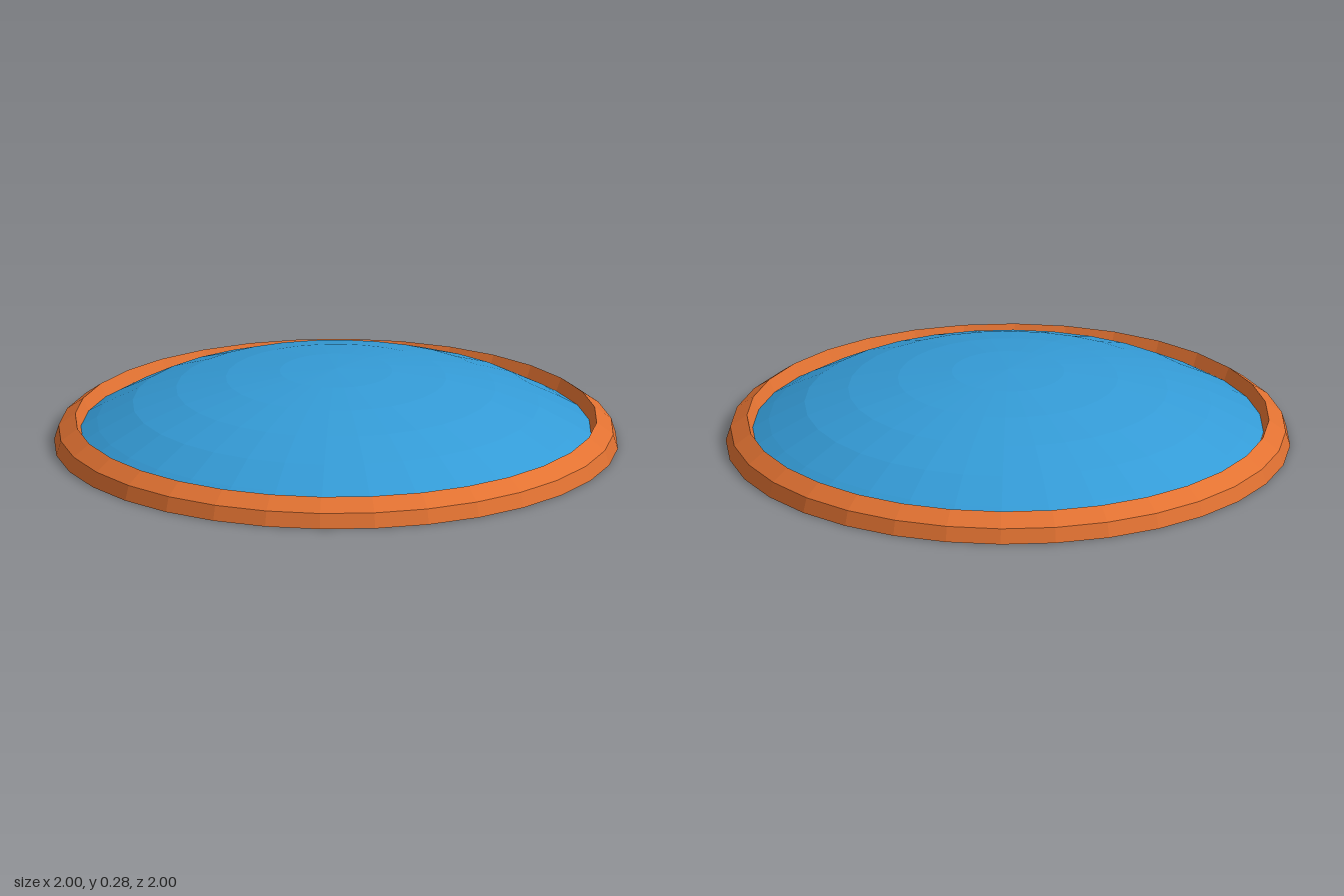
import * as THREE from 'three';

const SIDES = 32;

// Flat-shaded turned shell, profile listed from the outer edge inward
function shell(name, points, material) {
  const profile = points.map(([r, y]) => new THREE.Vector2(r, y));
  const mesh = new THREE.Mesh(new THREE.LatheGeometry(profile, SIDES), material);
  mesh.name = name;
  return mesh;
}

function makeMaterial(name, color) {
  const material = new THREE.MeshStandardMaterial({ color, flatShading: true, side: THREE.DoubleSide });
  material.name = name;
  return material;
}

export function createModel() {
  const model = new THREE.Group();
  model.name = 'domedDisc';
  const orange = makeMaterial('rimOrange', 0xe27232);
  const blue = makeMaterial('domeBlue', 0x349bd6);

  // Hollow rim: rounded outside, short lip folding down to the dome
  model.add(shell('rim', [[1, 0], [0.984, 0.053], [0.925, 0.096], [0.905, 0.05]], orange));

  // Shallow dome: the cap of a flattened sphere, cut where it meets the rim
  const dome = [[0.905, 0.05]];
  for (let i = 5; i >= 0; i--) {
    const a = (i * Math.PI) / 16;
    dome.push([1.02 * Math.sin(a), 0.28 - 0.44 * (1 - Math.cos(a))]);
  }
  model.add(shell('dome', dome, blue));

  return model;
}
